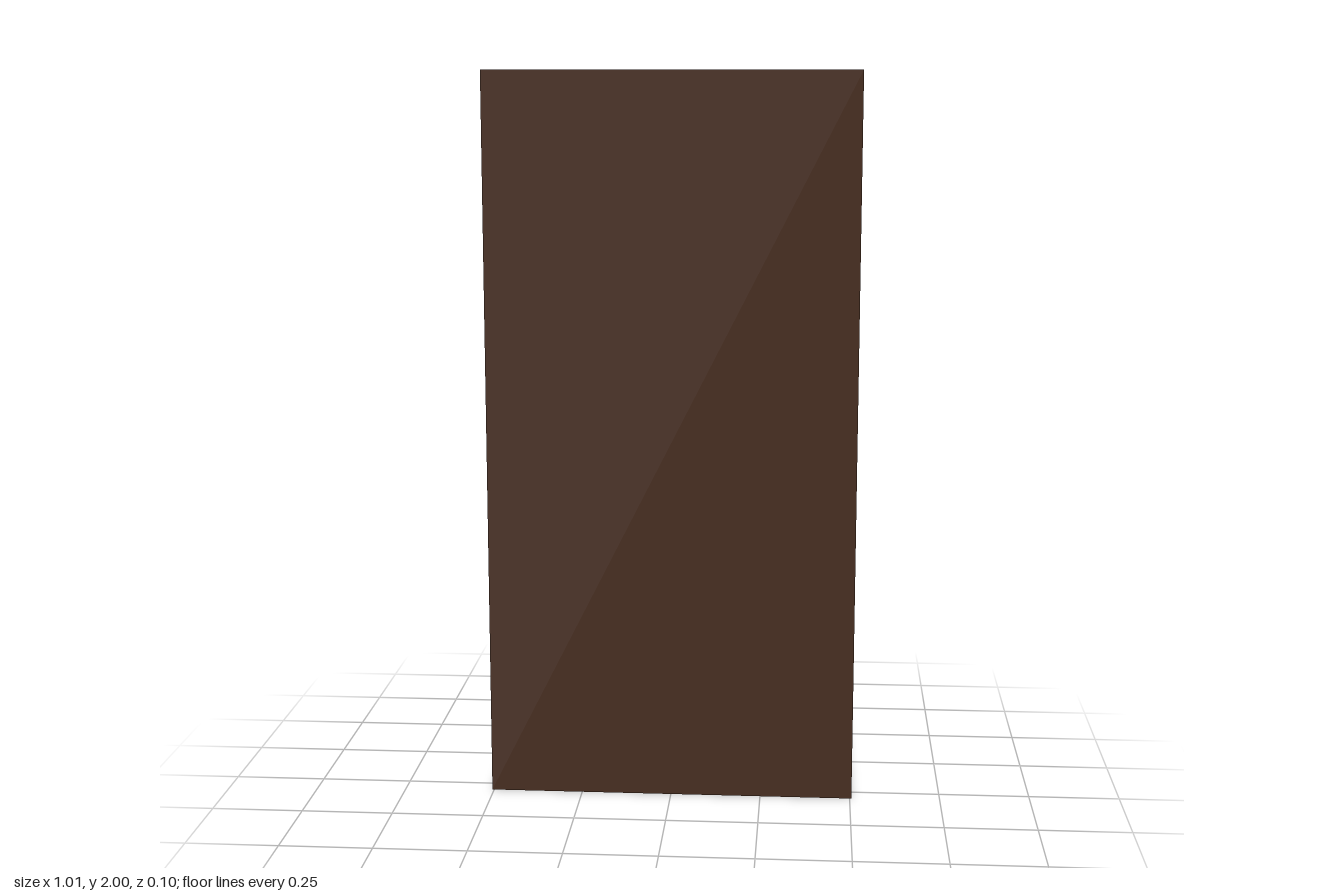
import * as THREE from 'three';
import { RoundedBoxGeometry } from 'three/addons/geometries/RoundedBoxGeometry.js';

const W = 0.505, H = 2;                   // half width and height of the frame
const BACK = 0.017, LEAF = 0.025, SLAB = 0.042, FRONT = 0.05; // z layers
const JAMB = 0.04, HEAD = 0.05, SILL = 0.006;

const grey = new THREE.MeshStandardMaterial({ color: 0xcccccc });
const brown = new THREE.MeshStandardMaterial({ color: 0x442818 });

function rectPath(x0, y0, x1, y1, Type = THREE.Path) {
  return new Type([[x0, y0], [x1, y0], [x1, y1], [x0, y1]].map(([x, y]) => new THREE.Vector2(x, y)));
}

// Plate with rectangular holes, spanning z0 to z1
function plate(outer, holes, z0, z1) {
  const shape = rectPath(...outer, THREE.Shape);
  shape.holes = holes.map((h) => rectPath(...h));
  return new THREE.ExtrudeGeometry(shape, { depth: z1 - z0, bevelEnabled: false }).translate(0, 0, z0);
}

// Stepped rectangular moulding facing -z; steps are [inset, z] from the rim inwards
function moulding([x0, y0, x1, y1], steps) {
  const pos = [];
  const rings = steps.map(([d, z]) => [
    [x1 - d, y0 + d, z], [x0 + d, y0 + d, z], [x0 + d, y1 - d, z], [x1 - d, y1 - d, z],
  ]);
  const quad = (a, b, c, d) => pos.push(...a, ...b, ...c, ...a, ...c, ...d);
  for (let r = 0; r < rings.length - 1; r++) {
    const a = rings[r], b = rings[r + 1];
    for (let i = 0; i < 4; i++) {
      const j = (i + 1) % 4;
      quad(a[i], a[j], b[j], b[i]);
    }
  }
  quad(...rings[rings.length - 1]);
  const g = new THREE.BufferGeometry();
  g.setAttribute('position', new THREE.Float32BufferAttribute(pos, 3));
  g.computeVertexNormals();
  return g;
}

export function createModel() {
  const model = new THREE.Group();
  const add = (name, geometry, material, parent = model) => {
    const mesh = new THREE.Mesh(geometry, material);
    mesh.name = name;
    parent.add(mesh);
    return mesh;
  };

  // Dark front slab and the rim around the leaf
  add('frontSlab', new THREE.BoxGeometry(2 * W, H, FRONT - SLAB).translate(0, H / 2, (FRONT + SLAB) / 2), brown);
  const opening = [-W + JAMB, SILL, W - JAMB, H - HEAD];
  add('frame', plate([-W, 0, W, H], [opening], BACK, SLAB), brown);

  // Grey leaf with four sunken panels
  const panels = [];
  for (const [y0, y1] of [[0.08, 0.835], [1.12, 1.875]]) {
    panels.push([-0.404, y0, -0.088, y1], [0.088, y0, 0.404, y1]);
  }
  add('doorLeaf', plate(opening, panels, LEAF, SLAB), grey);
  const steps = [[0, LEAF], [0.043, 0.038], [0.052, 0.038], [0.054, 0.031]];
  panels.forEach((p) => add('doorPanel', moulding(p, steps), grey));

  // Handle: backplate, stem, lever
  const handle = new THREE.Group();
  handle.name = 'handle';
  model.add(handle);
  const hx = 0.389, hy = 1.008;
  add('backplate', new THREE.BoxGeometry(0.06, 0.155, 0.014).translate(hx, 0.977, 0.019), grey, handle);
  const stem = new THREE.CylinderGeometry(0.011, 0.011, 0.06, 24).rotateX(Math.PI / 2);
  add('stem', stem.translate(hx, hy, -0.014), grey, handle);
  add('lever', new RoundedBoxGeometry(0.162, 0.024, 0.016, 3, 0.004).translate(0.326, hy, -0.044), grey, handle);

  return model;
}
